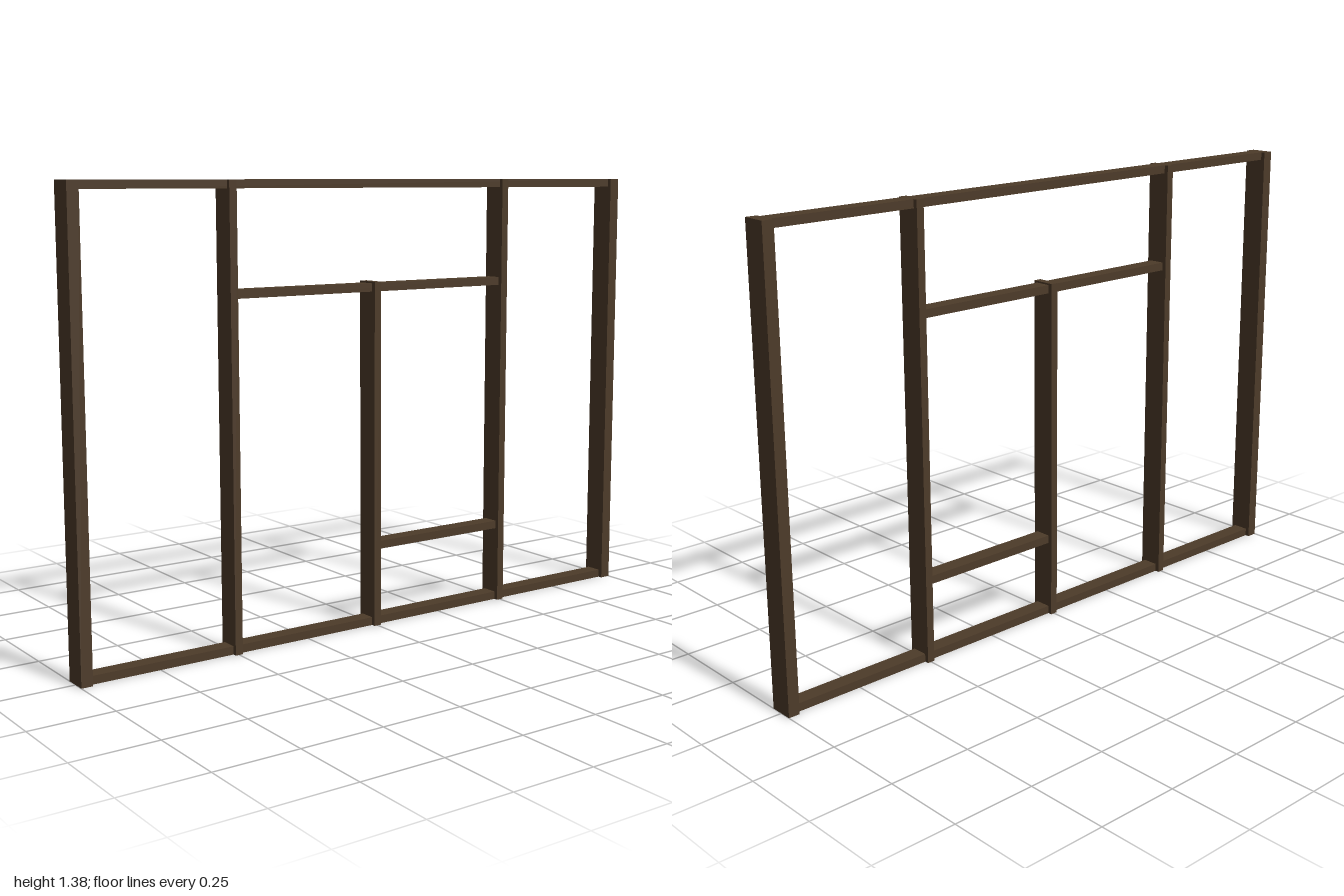
import * as THREE from 'three';

const H = 1.375; // overall height

export function createModel() {
  const group = new THREE.Group();
  const wood = new THREE.MeshStandardMaterial({ color: 0x4d3b29 });

  // Box beam given by its x width and its y and z extents
  function beam(name, width, y0, y1, z0, z1) {
    const mesh = new THREE.Mesh(new THREE.BoxGeometry(width, y1 - y0, z1 - z0), wood);
    mesh.name = name;
    mesh.position.set(0, (y0 + y1) / 2, (z0 + z1) / 2);
    group.add(mesh);
  }

  // Upright posts: thick ones at both ends, thinner ones between
  const postWidth = 0.076;
  beam('frontEndPost', postWidth, 0, H, 0.965, 1);
  beam('backEndPost', postWidth, 0, H, -1, -0.965);
  beam('frontInnerPost', postWidth, 0, H, 0.488, 0.512);
  beam('backInnerPost', postWidth, 0, H, -0.512, -0.488);
  beam('centrePost', postWidth, 0, 1.07, -0.012, 0.012);

  // Horizontal rails, narrower than the posts
  const railWidth = 0.05;
  beam('bottomRail', railWidth, 0, 0.025, -1, 1);
  beam('topRail', railWidth, H - 0.025, H, -1, 1);
  beam('lintelRail', railWidth, 1.04, 1.065, -0.49, 0.49);
  beam('sillRail', railWidth, 0.24, 0.265, -0.49, 0);

  return group;
}
